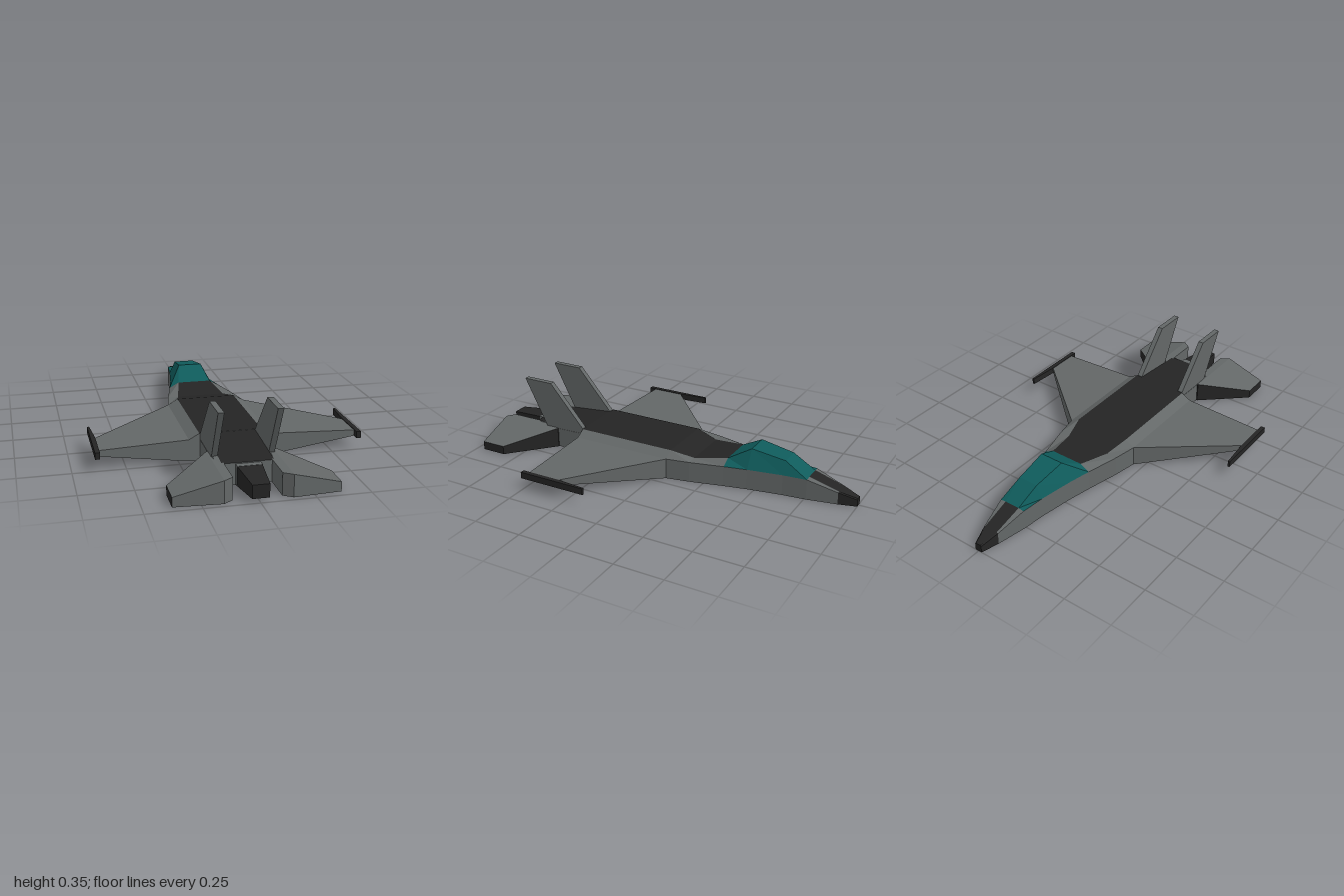
import * as THREE from 'three';

const mat = (name, color) => {
  const m = new THREE.MeshStandardMaterial({ color });
  m.name = name;
  return m;
};

export function createModel() {
  const model = new THREE.Group();
  model.name = 'jetFighter';
  const materials = [mat('grey paint', 0x636767), mat('black paint', 0x242424), mat('teal glass', 0x0f5b5b)];
  const GREY = 0, BLACK = 1, TEAL = 2;

  // Closed flat-shaded solid through matching rings; paint(segment, strip) gives the colour,
  // with segment 'start' or 'end' for the two caps.
  function loft(name, rings, paint) {
    const tris = [[], [], []];
    const n = rings[0].length;
    const add = (m, a, b, c) => tris[m].push([a, b, c]);
    for (let i = 0; i < rings.length - 1; i++) {
      for (let j = 0; j < n; j++) {
        const k = (j + 1) % n, A = rings[i], B = rings[i + 1], m = paint(i, j);
        add(m, A[j], A[k], B[k]);
        add(m, A[j], B[k], B[j]);
      }
    }
    const last = rings[rings.length - 1];
    for (let j = 1; j < n - 1; j++) {
      add(paint('start', j), rings[0][0], rings[0][j + 1], rings[0][j]);
      add(paint('end', j), last[0], last[j], last[j + 1]);
    }
    // Turn the faces outward
    let volume = 0;
    const [u, v, w] = [0, 1, 2].map(() => new THREE.Vector3());
    tris.flat().forEach(([a, b, c]) => {
      volume += u.fromArray(a).dot(v.fromArray(b).cross(w.fromArray(c)));
    });
    const positions = [];
    const geo = new THREE.BufferGeometry();
    tris.forEach((list, m) => {
      if (!list.length) return;
      geo.addGroup(positions.length / 3, list.length * 3, m);
      list.forEach(([a, b, c]) => positions.push(...a, ...(volume < 0 ? c : b), ...(volume < 0 ? b : c)));
    });
    geo.setAttribute('position', new THREE.Float32BufferAttribute(positions, 3));
    geo.computeVertexNormals();
    const mesh = new THREE.Mesh(geo, materials);
    mesh.name = name;
    model.add(mesh);
  }

  // Hull section: side half-width w up to height s, top half-width t at height h
  const section = ([z, w, s, t, h]) =>
    [[-w, 0, z], [w, 0, z], [w, s, z], [t, h, z], [-t, h, z], [-w, s, z]];
  const TOP = 3;

  // Nose cone
  loft('noseCone', [
    [-1, 0.018, 0.035, 0.013, 0.041],
    [-0.91, 0.042, 0.062, 0.035, 0.066],
  ].map(section), () => BLACK);

  // Fuselage with the canopy over its second and later segments
  loft('fuselage', [
    [-0.91, 0.042, 0.062, 0.035, 0.066],
    [-0.76, 0.07, 0.106, 0.04, 0.11],
    [-0.64, 0.083, 0.107, 0.052, 0.172],
    [-0.465, 0.112, 0.107, 0.062, 0.2],
    [-0.35, 0.137, 0.107, 0.088, 0.134],
    [-0.18, 0.178, 0.107, 0.123, 0.109],
    [-0.06, 0.2, 0.107, 0.15, 0.135],
    [0.47, 0.2, 0.107, 0.15, 0.135],
  ].map(section), (i, j) => {
    if (i >= 1 && i <= 3 && j >= 2 && j <= 4) return TEAL;
    return j === TOP && i !== 'start' && i !== 'end' ? BLACK : GREY;
  });

  // Rear body, sloping down between the fins
  loft('rearBody', [
    [0.46, 0.148, 0.107, 0.12, 0.135],
    [0.79, 0.148, 0.1, 0.12, 0.105],
  ].map(section), (i, j) => (i === 0 && j === TOP ? BLACK : GREY));

  // Engine outlet: grey collar, then a tapered black nozzle
  const square = (z, w, y0, y1) => [[-w, y0, z], [w, y0, z], [w, y1, z], [-w, y1, z]];
  loft('engineCollar', [square(0.78, 0.058, 0.005, 0.1), square(0.82, 0.058, 0.005, 0.1)], () => GREY);
  loft('engineNozzle', [square(0.82, 0.057, 0.006, 0.099), square(1, 0.039, 0.022, 0.085)], () => BLACK);

  for (const [side, s] of [['left', 1], ['right', -1]]) {
    // Chordwise section at x: leading edge z0, trailing edge z1
    const chord = (x, z0, z1, y0, y1) =>
      [[s * x, y0, z0], [s * x, y1, z0], [s * x, y1, z1], [s * x, y0, z1]];

    loft(side + 'Wing', [
      chord(0.2, -0.06, 0.47, 0, 0.107),
      chord(0.62, 0.3, 0.47, 0.06, 0.09),
    ], () => GREY);

    // Rail on the wing tip
    const rail = (z, x) => [[s * x, 0.06, z], [s * 0.643, 0.06, z], [s * 0.643, 0.093, z], [s * x, 0.093, z]];
    loft(side + 'WingTipRail', [rail(0.145, 0.632), rail(0.3, 0.62), rail(0.505, 0.62)], () => BLACK);

    // Tailplane with black leading edge and tip
    loft(side + 'Tailplane', [
      chord(0.11, 0.63, 0.945, 0, 0.106),
      chord(0.153, 0.63, 0.975, 0, 0.106),
      chord(0.375, 0.83, 0.96, 0, 0.045),
    ], (i, j) => (i === 'end' || (i !== 'start' && j === 0) ? BLACK : GREY));

    // Upright tail fin
    const fin = (x) => [[0.70, 0.1], [0.473, 0.1], [0.473, 0.135], [0.665, 0.355], [0.83, 0.355]]
      .map(([z, y]) => [s * x, y, z]);
    loft(side + 'TailFin', [fin(0.119), fin(0.147)], () => GREY);
  }
  return model;
}
